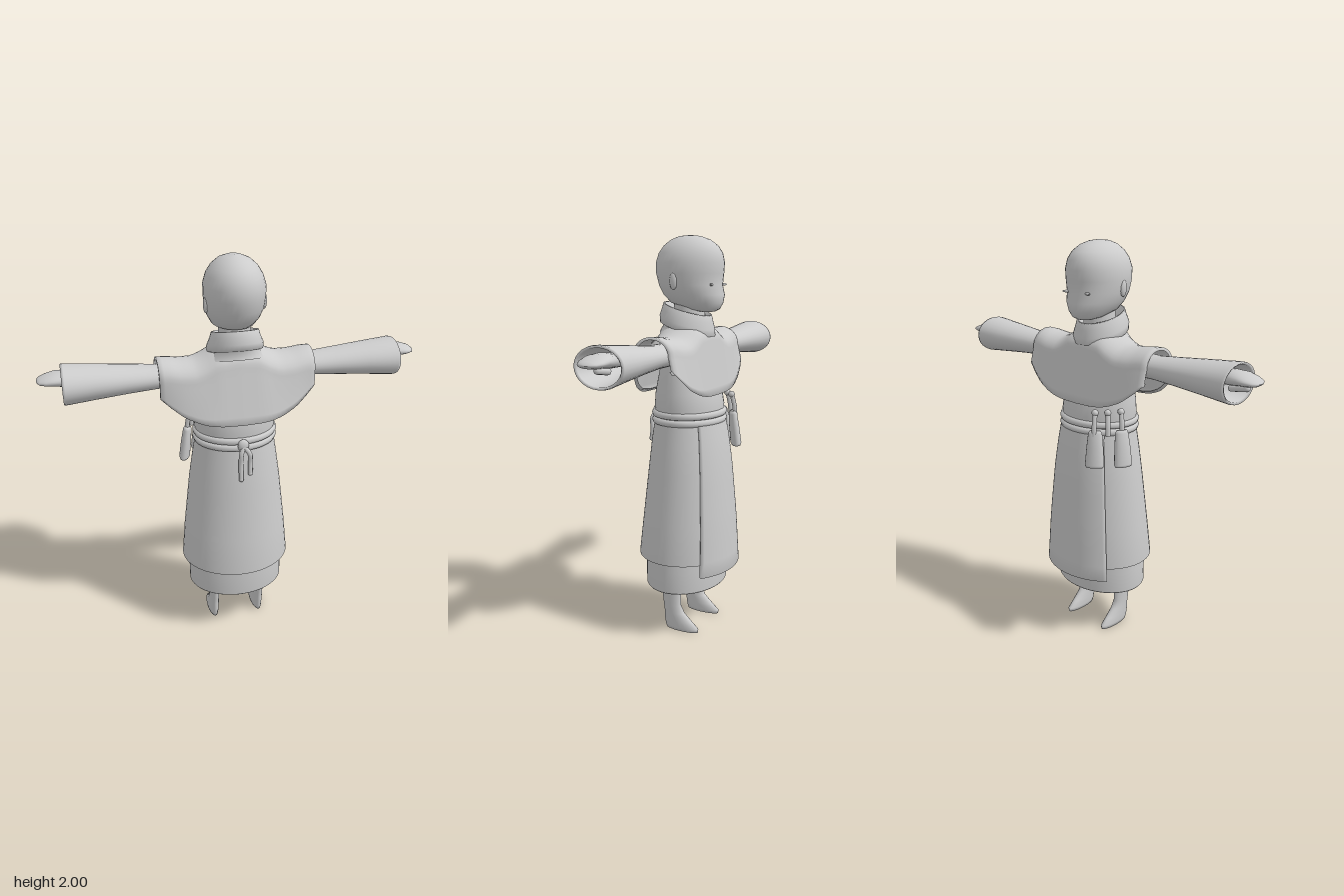
import * as THREE from 'three';

const clay = new THREE.MeshStandardMaterial({ color: 0xcccccc, side: THREE.DoubleSide });
clay.name = 'pale grey';

function add(parent, name, geometry) {
  const mesh = new THREE.Mesh(geometry, clay);
  mesh.name = name;
  parent.add(mesh);
  return mesh;
}

// Smooth surface through rows x cols points given by point(row, col)
function grid(rows, cols, point, wrap = false) {
  const pos = [], index = [];
  for (let i = 0; i < rows; i++) for (let j = 0; j < cols; j++) pos.push(...point(i, j));
  for (let i = 0; i < rows - 1; i++) {
    for (let j = 0; j < (wrap ? cols : cols - 1); j++) {
      const k = (j + 1) % cols, a = i * cols, b = a + cols;
      index.push(a + j, b + j, a + k, b + j, b + k, a + k);
    }
  }
  const g = new THREE.BufferGeometry();
  g.setAttribute('position', new THREE.Float32BufferAttribute(pos, 3));
  g.setIndex(index);
  g.computeVertexNormals();
  return g;
}

// Upright loft; rings are [y, half width, z front, z back], tilt raises the back
function loft(rings, tilt = 0, n = 36) {
  return grid(rings.length, n, (i, j) => {
    const [y, w, z0, z1] = rings[i], a = (j / n) * Math.PI * 2;
    const z = (z0 + z1) / 2 + Math.sin(a) * (z1 - z0) / 2;
    return [Math.cos(a) * w, y + tilt * z, z];
  }, true);
}

// Loft along x; rings are [x, y centre, y radius, z centre, z radius]
function loftX(rings, n = 28) {
  return grid(rings.length, n, (i, j) => {
    const [x, y, ry, z, rz] = rings[i], a = (j / n) * Math.PI * 2;
    return [x, y + Math.cos(a) * ry, z - Math.sin(a) * rz];
  }, true);
}

// Linear lookup in a table of [key, value, value...]
function sample(table, k) {
  let i = 0;
  while (i < table.length - 2 && k > table[i + 1][0]) i++;
  const a = table[i], b = table[i + 1];
  const t = THREE.MathUtils.clamp((k - a[0]) / (b[0] - a[0]), 0, 1);
  return a.map((v, c) => v + (b[c] - v) * t);
}

function tube(points, r, closed = false) {
  const path = new THREE.CatmullRomCurve3(points.map(p => new THREE.Vector3(...p)), closed);
  return new THREE.TubeGeometry(path, closed ? 64 : 14, r, 8, closed);
}

// Shoulder cape: an arch over the shoulders, swept from arm to arm
// [|x|, top y, shoulder depth, hem depth back, hem depth front, hem y]
const capeTable = [
  [0, 1.59, 0.125, 0.19, 0.168, 1.24], [0.1, 1.58, 0.125, 0.187, 0.166, 1.242],
  [0.15, 1.55, 0.125, 0.182, 0.163, 1.248], [0.2, 1.53, 0.125, 0.17, 0.158, 1.26],
  [0.27, 1.53, 0.118, 0.148, 0.148, 1.29], [0.33, 1.54, 0.108, 0.122, 0.135, 1.335],
  [0.375, 1.542, 0.1, 0.102, 0.12, 1.375],
];
function cape() {
  const nu = 35, nv = 31;
  return grid(nu, nv, (i, j) => {
    const edge = i === 0 || i === nu - 1;
    const lip = j === 0 || j === nv - 1;
    const x = THREE.MathUtils.clamp((i - 1) / (nu - 3), 0, 1) * 0.75 - 0.375;
    const [, top, depth, back, front, hem] = sample(capeTable, Math.abs(x));
    const v = THREE.MathUtils.clamp((j - 1) / (nv - 3), 0, 1) * 2 - 1;
    const t = Math.abs(v), low = top - 0.085;
    let z, y;
    if (t < 0.5) {
      z = depth * Math.sin(t * Math.PI);
      y = low + (top - low) * Math.cos(t * Math.PI);
    } else {
      const k = (t - 0.5) * 2;
      z = depth + ((v < 0 ? back : front) - depth) * k;
      y = low + (hem - low) * k;
    }
    if (lip) { z -= 0.015; y += 0.015; }
    if (edge) { z *= 0.85; y -= 0.014 * (1 - t); }
    return [x, y, v < 0 ? z : -z];
  });
}

// Skirt rings from the hem up: [y, half width, z front, z back]
const skirtRings = [
  [0.33, 0.29, -0.246, 0.255], [0.41, 0.283, -0.242, 0.25], [0.6, 0.266, -0.231, 0.228],
  [0.865, 0.236, -0.208, 0.198], [1.0, 0.216, -0.192, 0.183], [1.12, 0.196, -0.17, 0.165],
];

// Overlapping panel across the face side, hanging lower than the skirt
function panel() {
  const nu = 12, nv = 26, a0 = -Math.PI * 0.76, a1 = -Math.PI * 0.24;
  return grid(nu, nv, (i, j) => {
    const rim = i === 0 || j === 0 || j === nv - 1;
    const k = THREE.MathUtils.clamp((j - 1) / (nv - 3), 0, 1);
    const a = a0 + (a1 - a0) * k;
    const y = 0.347 + (1.1 - 0.347) * Math.max(0, i - 1) / (nu - 2);
    const [, w, z0, z1] = sample(skirtRings, y);
    const grow = rim ? -0.012 : 0.008;
    return [Math.cos(a) * (w + grow), y, (z0 + z1) / 2 + Math.sin(a) * ((z1 - z0) / 2 + grow)];
  });
}

function buildArm() {
  const arm = new THREE.Group();
  add(arm, 'sleeve', loftX([
    [0.22, 1.45, 0.055, -0.005, 0.075], [0.38, 1.45, 0.055, -0.005, 0.08],
    [0.52, 1.452, 0.066, -0.004, 0.094], [0.66, 1.453, 0.079, -0.003, 0.107],
    [0.8, 1.453, 0.092, -0.002, 0.12], [0.812, 1.453, 0.09, -0.002, 0.118],
    [0.806, 1.453, 0.08, -0.002, 0.107], [0.7, 1.453, 0.066, -0.002, 0.09],
    [0.56, 1.453, 0.03, -0.002, 0.04],
  ]));
  add(arm, 'hand', loftX([
    [0.56, 1.47, 0.03, -0.01, 0.035], [0.72, 1.475, 0.032, -0.01, 0.042],
    [0.79, 1.48, 0.034, -0.012, 0.062], [0.84, 1.482, 0.029, -0.014, 0.068],
    [0.88, 1.478, 0.022, -0.016, 0.062], [0.91, 1.475, 0.014, -0.018, 0.047],
    [0.922, 1.474, 0.006, -0.02, 0.025], [0.925, 1.474, 0, -0.02, 0],
  ]));
  const thumb = add(arm, 'thumb', new THREE.CapsuleGeometry(0.015, 0.075, 4, 10));
  thumb.rotation.z = Math.PI / 2 + 0.15;
  thumb.position.set(0.835, 1.445, -0.04);
  return arm;
}

function buildLeg() {
  const leg = new THREE.Group();
  add(leg, 'legAndFoot', loft([
    [0, 0, -0.03, -0.03], [0, 0.026, -0.112, 0.068], [0.018, 0.029, -0.115, 0.075],
    [0.05, 0.028, -0.078, 0.08], [0.09, 0.027, -0.034, 0.08], [0.13, 0.026, -0.013, 0.085],
    [0.25, 0.03, -0.01, 0.1], [0.42, 0.04, -0.02, 0.11],
  ], 0, 20));
  leg.position.x = 0.125;
  return leg;
}

function buildPouch() {
  const pouch = new THREE.Group();
  add(pouch, 'pouchBody', loft([
    [0, 0, 0, 0], [0, 0.042, -0.022, 0.022], [0.012, 0.047, -0.027, 0.027],
    [0.1, 0.041, -0.025, 0.025], [0.165, 0.034, -0.021, 0.021],
    [0.18, 0.028, -0.014, 0.014], [0.18, 0, 0, 0],
  ], 0, 16));
  return pouch;
}

export function createModel() {
  const model = new THREE.Group();
  model.name = 'robedFigure';

  // Head, neck and face (the face looks towards -z)
  add(model, 'head', loft([
    [1.638, 0, -0.1, -0.1], [1.64, 0.04, -0.135, -0.06], [1.652, 0.07, -0.158, 0.0],
    [1.68, 0.102, -0.174, 0.09], [1.72, 0.124, -0.18, 0.13], [1.765, 0.138, -0.167, 0.152],
    [1.82, 0.144, -0.173, 0.167], [1.87, 0.144, -0.177, 0.169], [1.915, 0.13, -0.168, 0.155],
    [1.95, 0.108, -0.145, 0.13], [1.978, 0.077, -0.105, 0.093], [1.994, 0.042, -0.058, 0.052],
    [2.0, 0, 0, 0],
  ]));
  add(model, 'neck', new THREE.CylinderGeometry(0.075, 0.085, 0.22, 24)).position.set(0, 1.58, 0);
  for (const s of [-1, 1]) {
    const ear = add(model, 'ear', new THREE.SphereGeometry(1, 14, 10));
    ear.scale.set(0.012, 0.04, 0.02);
    ear.position.set(s * 0.138, 1.785, 0.015);
    const eye = add(model, 'eyeSlit', new THREE.SphereGeometry(1, 14, 8));
    eye.scale.set(0.03, 0.007, 0.008);
    eye.position.set(s * 0.062, 1.768, -0.148);
    eye.rotation.y = s * 0.38;
  }

  // Folded collar, tilted down towards the face
  add(model, 'collar', loft([
    [1.51, 0.16, -0.13, 0.14], [1.55, 0.12, -0.115, 0.125], [1.555, 0.134, -0.128, 0.146],
    [1.585, 0.135, -0.126, 0.148], [1.62, 0.12, -0.118, 0.138], [1.648, 0.112, -0.112, 0.13],
    [1.65, 0.104, -0.104, 0.122], [1.6, 0.085, -0.09, 0.1],
  ], 0.28));
  add(model, 'cape', cape());

  // Torso and layered skirts
  add(model, 'torso', loft([
    [1.1, 0.195, -0.165, 0.16], [1.18, 0.201, -0.17, 0.166], [1.25, 0.195, -0.158, 0.16],
    [1.38, 0.18, -0.125, 0.13], [1.5, 0.15, -0.09, 0.09], [1.55, 0.08, -0.07, 0.07],
  ]));
  add(model, 'outerSkirt', loft([
    [0.44, 0.25, -0.205, 0.21], [0.41, 0.272, -0.232, 0.238], ...skirtRings.slice(1),
  ], 0, 48));
  add(model, 'overlapPanel', panel());
  add(model, 'underSkirt', loft([
    [0.45, 0.23, -0.165, 0.19], [0.25, 0.24, -0.175, 0.2], [0.244, 0.246, -0.181, 0.207],
    [0.25, 0.25, -0.185, 0.212], [0.36, 0.251, -0.187, 0.212], [0.5, 0.24, -0.18, 0.205],
  ], 0, 48));

  // Double rope belt
  for (const y of [1.11, 1.145]) {
    const ring = Array.from({ length: 16 }, (_, i) => {
      const a = (i / 16) * Math.PI * 2;
      return [Math.cos(a) * 0.192, y, Math.sin(a) * 0.164 - 0.002];
    });
    add(model, 'beltRope', tube(ring, 0.019, true));
  }

  // Belt knot with two hanging ends
  const knot = add(model, 'beltKnot', new THREE.SphereGeometry(1, 14, 10));
  knot.scale.set(0.028, 0.032, 0.018);
  knot.position.set(0, 1.132, 0.185);
  for (const [x, y] of [[-0.014, 0.955], [0.032, 0.985]]) {
    const strap = add(model, 'beltEnd', tube(
      [[0, 1.13, 0.19], [x * 0.9, 1.09, 0.2], [x, 1.04, 0.196], [x, y, 0.203]], 0.012));
    strap.name = 'beltEnd';
    const tip = add(model, 'beltEndTip', new THREE.SphereGeometry(0.0125, 10, 8));
    tip.position.set(x, y, 0.203);
  }

  // Two pouches with toggles on the -x side of the belt
  for (const [x, z, turn] of [[-0.145, -0.185, 0.6], [-0.232, -0.085, 1.2]]) {
    const pouch = buildPouch();
    pouch.name = 'pouch';
    pouch.position.set(x * 1.05, 0.955, z * 1.05);
    pouch.rotation.set(0, turn, 0);
    pouch.rotateX(0.12);
    model.add(pouch);
  }
  for (const [x, z] of [[-0.135, -0.172], [-0.178, -0.13], [-0.21, -0.072]]) {
    add(model, 'toggle', tube([[x * 1.08, 1.11, z * 1.1], [x * 1.06, 1.16, z * 1.08], [x, 1.225, z]], 0.012));
    const bead = add(model, 'toggleBead', new THREE.SphereGeometry(0.017, 10, 8));
    bead.position.set(x, 1.22, z);
  }

  // Mirrored limbs
  for (const s of [1, -1]) {
    const arm = buildArm(), leg = buildLeg();
    arm.name = s > 0 ? 'leftArm' : 'rightArm';
    leg.name = s > 0 ? 'leftLeg' : 'rightLeg';
    arm.scale.x = s;
    leg.scale.x = s;
    leg.position.x *= s;
    model.add(arm, leg);
  }
  return model;
}
